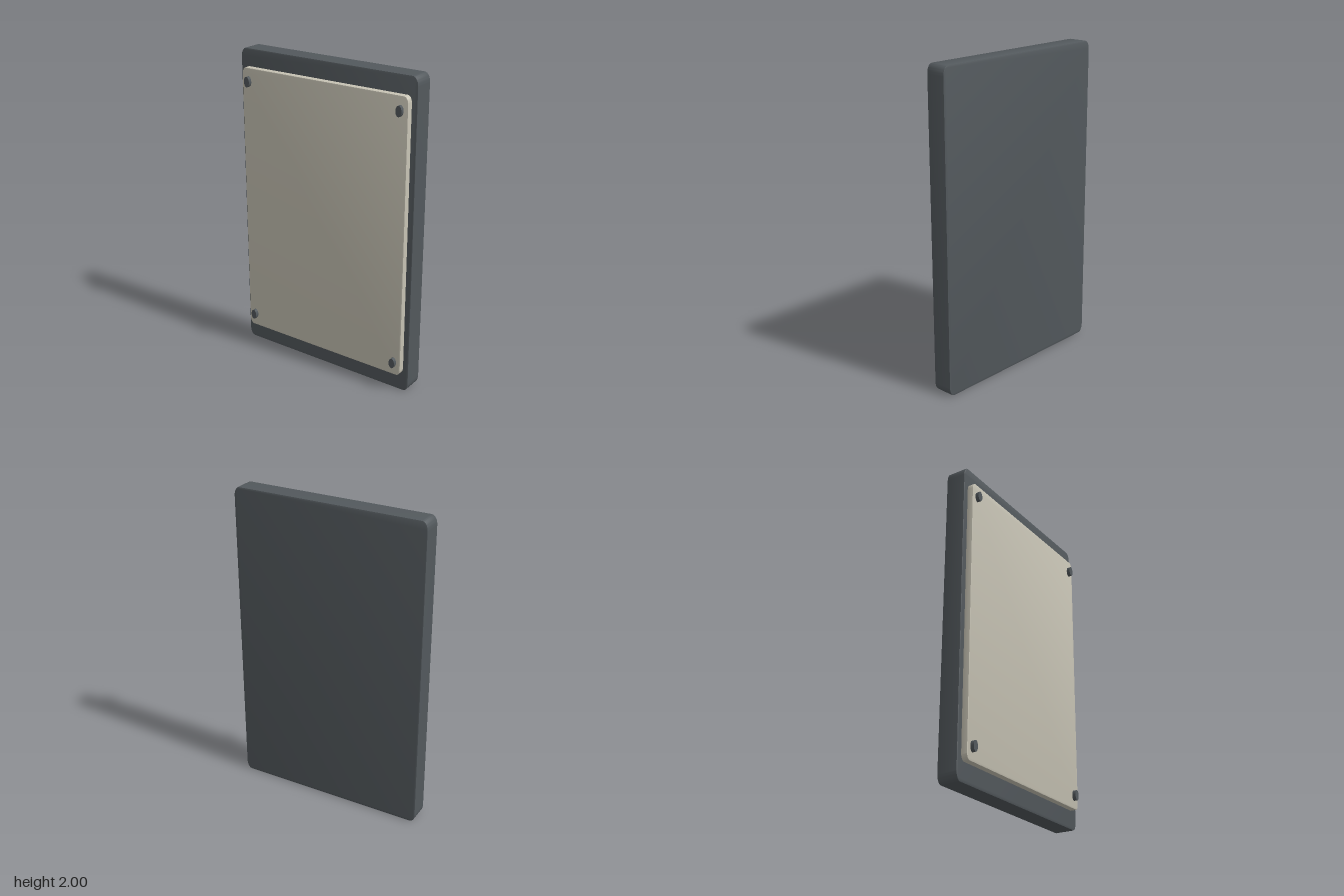
import * as THREE from 'three';
import { toCreasedNormals } from 'three/addons/utils/BufferGeometryUtils.js';

// Rectangle with elliptical corners, centred on the origin
function roundedRect(w, h, rx, ry) {
  const s = new THREE.Shape();
  const x = w / 2 - rx, y = h / 2 - ry;
  s.moveTo(-x, -h / 2);
  s.lineTo(x, -h / 2);
  s.absellipse(x, -y, rx, ry, -Math.PI / 2, 0, false);
  s.absellipse(x, y, rx, ry, 0, Math.PI / 2, false);
  s.absellipse(-x, y, rx, ry, Math.PI / 2, Math.PI, false);
  s.absellipse(-x, -y, rx, ry, Math.PI, Math.PI * 1.5, false);
  return s;
}

// Slab between z0 and z1 with softly bevelled edges
function slab(name, w, h, rx, ry, z0, z1, bevel, material) {
  const geo = new THREE.ExtrudeGeometry(roundedRect(w - 2 * bevel, h - 2 * bevel, rx, ry), {
    depth: z1 - z0 - 2 * bevel,
    bevelEnabled: true,
    bevelThickness: bevel,
    bevelSize: bevel,
    bevelSegments: 2,
    curveSegments: 6,
  });
  geo.translate(0, 0, z0 + bevel);
  const mesh = new THREE.Mesh(toCreasedNormals(geo, 0.6), material);
  mesh.name = name;
  return mesh;
}

export function createModel() {
  const slate = new THREE.MeshStandardMaterial({ color: 0x53595d });
  slate.name = 'slate grey';
  const cream = new THREE.MeshStandardMaterial({ color: 0xc9c5b6 });
  cream.name = 'warm cream';

  const group = new THREE.Group();
  group.name = 'wallPanel';

  // Thick backing board
  const board = slab('backingBoard', 1.264, 2, 0.032, 0.052, -0.096, 0.034, 0.005, slate);
  board.position.y = 1;
  group.add(board);

  // Raised face plate
  const plate = slab('facePlate', 1.19, 1.77, 0.024, 0.04, 0.03, 0.073, 0.003, cream);
  plate.position.y = 1.004;
  group.add(plate);

  // Four oval studs near the plate's corners
  const studGeo = new THREE.CylinderGeometry(1, 1, 1, 20).rotateX(Math.PI / 2).scale(0.02, 0.033, 0.036);
  for (const x of [-0.547, 0.547]) {
    for (const y of [0.204, 1.804]) {
      const stud = new THREE.Mesh(studGeo, slate);
      stud.name = 'stud';
      stud.position.set(x, y, 0.078);
      group.add(stud);
    }
  }
  return group;
}
